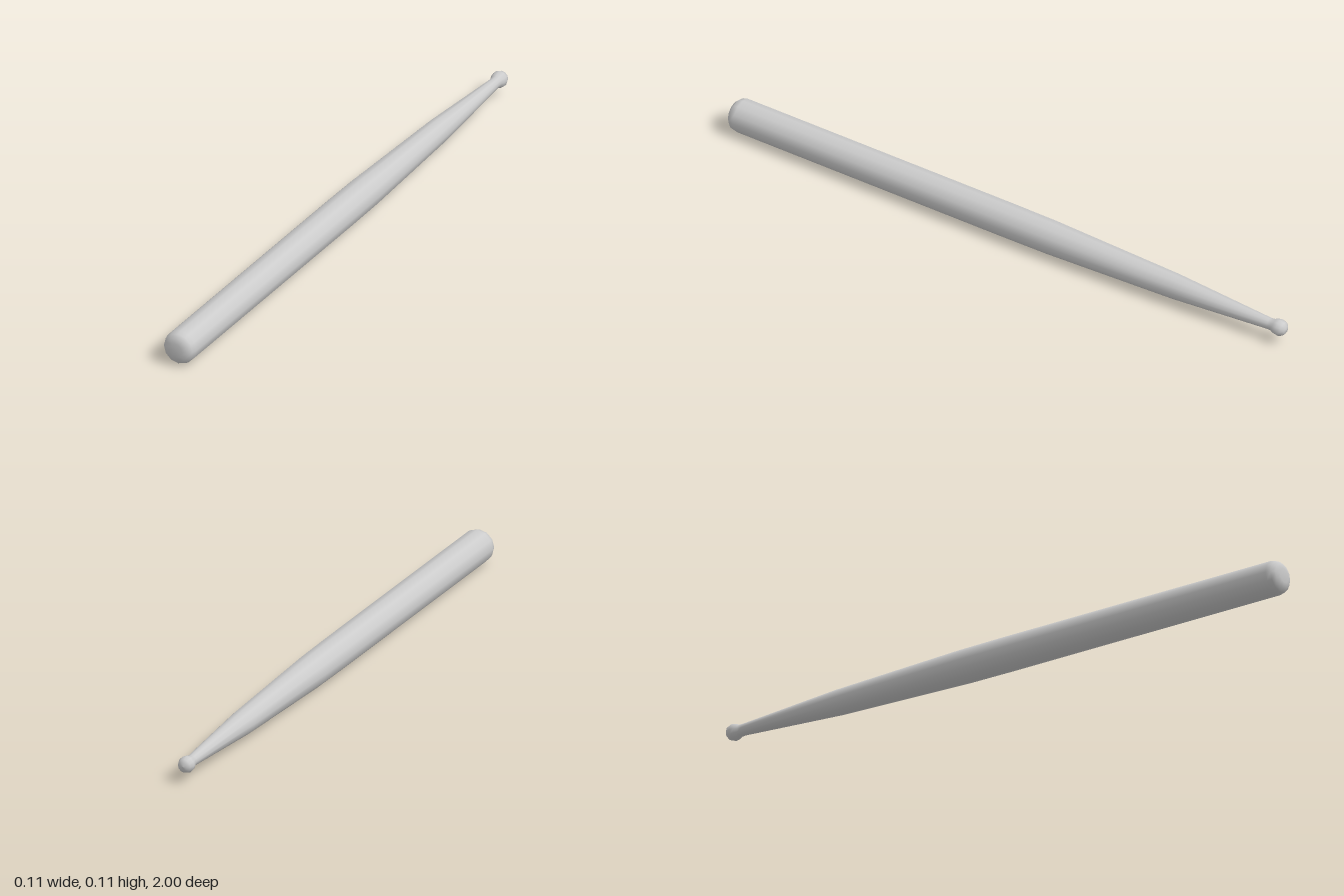
import * as THREE from 'three';

const RADIUS = 0.053;

// Turned profile as [z, radius], from the tip at the back to the butt at the front
const PROFILE = [
  // rounded bead tip
  [-1, 0], [-0.998, 0.012], [-0.991, 0.021], [-0.977, 0.026], [-0.963, 0.024], [-0.953, 0.019],
  // neck and tapering shoulder
  [-0.94, 0.018], [-0.6, 0.039], [-0.15, 0.052],
  // straight grip
  [0, RADIUS], [0.968, RADIUS],
  // rounded butt
  [0.984, 0.049], [0.995, 0.039], [1, 0.022], [1, 0],
];

export function createModel() {
  const group = new THREE.Group();
  group.name = 'drumstick';

  const points = PROFILE.map(([z, r]) => new THREE.Vector2(r, z));
  const geometry = new THREE.LatheGeometry(points, 12);
  geometry.rotateX(Math.PI / 2); // lay the turning axis along z

  const stick = new THREE.Mesh(geometry, new THREE.MeshStandardMaterial({ color: 0xcccccc }));
  stick.name = 'stick';
  stick.position.y = RADIUS;
  group.add(stick);
  return group;
}
